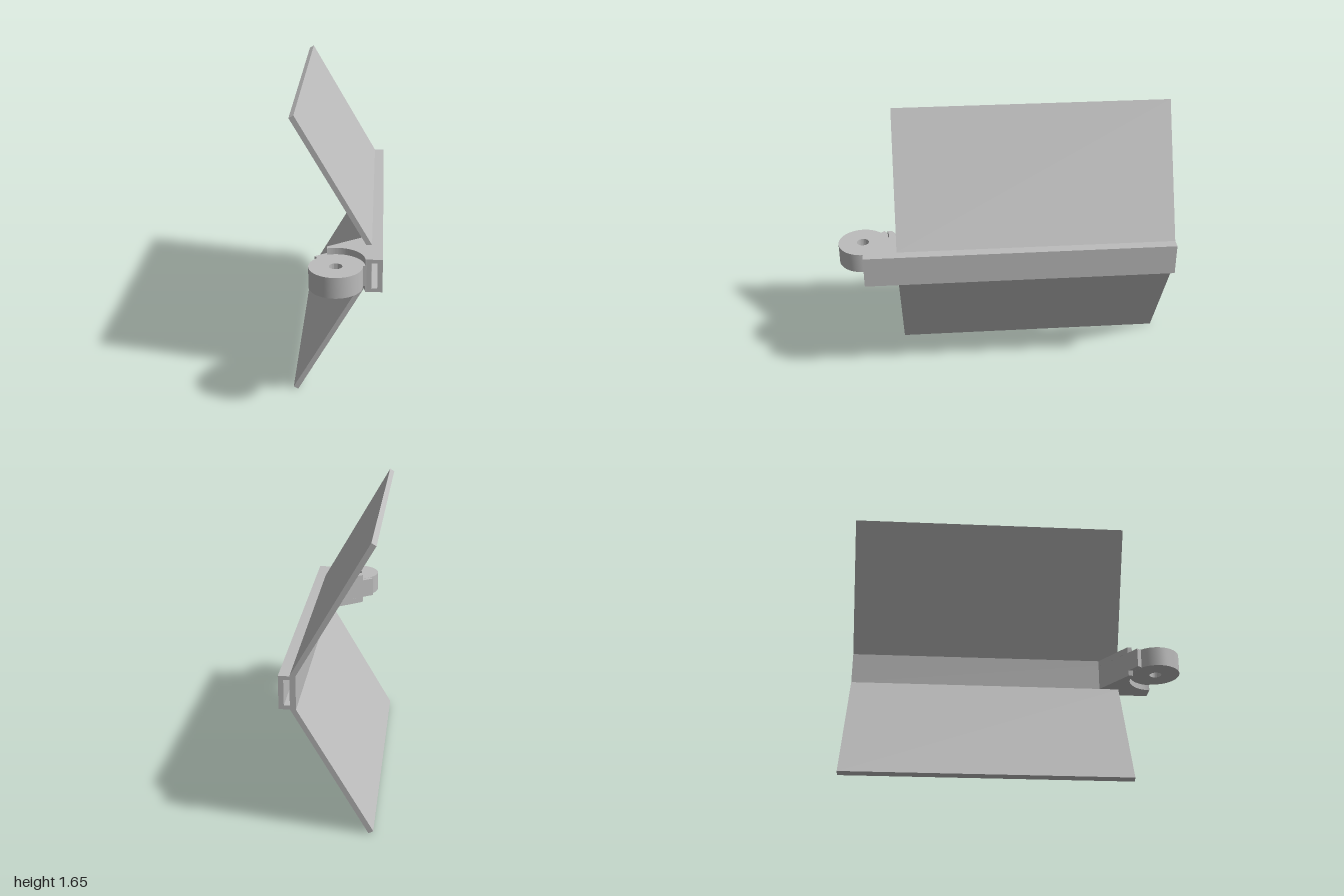
import * as THREE from 'three';
import { toCreasedNormals } from 'three/addons/utils/BufferGeometryUtils.js';

const MID_Y = 0.825;
const HUB_Z = 0.855;

const grey = new THREE.MeshStandardMaterial({ color: 0xbcbcbc });
grey.name = 'plain grey';

function polygon(points) {
  return new THREE.Shape(points.map(([x, y]) => new THREE.Vector2(x, y)));
}

function extrude(shape, depth) {
  const geometry = new THREE.ExtrudeGeometry(shape, { depth, bevelEnabled: false, curveSegments: 40 });
  return toCreasedNormals(geometry, 0.5);
}

// Profile in x and y, extruded from z0 to z1
function alongZ(name, shape, z0, z1) {
  const mesh = new THREE.Mesh(extrude(shape, z1 - z0).translate(0, 0, z0), grey);
  mesh.name = name;
  return mesh;
}

// Plan in x and -z, extruded from y0 to y1
function alongY(name, shape, y0, y1) {
  const mesh = new THREE.Mesh(extrude(shape, y1 - y0).rotateX(-Math.PI / 2).translate(0, y0, 0), grey);
  mesh.name = name;
  return mesh;
}

// Plan of the bracket: a sloping arm ending in a round cut about the hub
function bracketPlan(tip, radius, startAngle) {
  const shape = polygon([[0.165, -0.845], [0.165, -0.527], ...tip]);
  shape.absarc(0, -HUB_Z, radius, startAngle, 0.06, true);
  return shape;
}

export function createModel() {
  const model = new THREE.Group();
  model.name = 'hingedLeafBracket';

  // Hollow rectangular rail
  const rail = polygon([[0.158, 0.73], [0.25, 0.73], [0.25, 0.92], [0.158, 0.92]]);
  rail.holes.push(polygon([[0.19, 0.752], [0.19, 0.898], [0.222, 0.898], [0.222, 0.752]]));
  model.add(alongZ('rail', rail, -1, 0.845));

  // Two sloping leaves, mirrored about the rail's middle
  const leaf = [[0.158, 0.92], [0.19, 0.92], [-0.228, 1.648], [-0.254, 1.633]];
  for (const [name, side] of [['upperLeaf', 1], ['lowerLeaf', -1]]) {
    const points = leaf.map(([x, y]) => [x, MID_Y + side * (y - MID_Y)]);
    model.add(alongZ(name, polygon(points), -1, 0.65));
  }

  // Bracket: two outer cheeks with a longer middle web
  const cheek = bracketPlan([[-0.055, -0.68]], 0.158, 1.92);
  model.add(alongY('lowerCheek', cheek, 0.73, 0.765));
  model.add(alongY('upperCheek', cheek, 0.882, 0.92));
  const web = bracketPlan([[-0.12, -0.727], [-0.1, -0.755]], 0.14, 2.33);
  model.add(alongY('bracketWeb', web, 0.765, 0.882));

  // Round knuckle with a pin hole
  const knuckle = new THREE.Shape();
  knuckle.absarc(0, -HUB_Z, 0.145, 0, Math.PI * 2, false);
  const pinHole = new THREE.Path();
  pinHole.absarc(0, -HUB_Z, 0.036, 0, Math.PI * 2, true);
  knuckle.holes.push(pinHole);
  model.add(alongY('knuckle', knuckle, 0.764, 0.883));

  return model;
}
